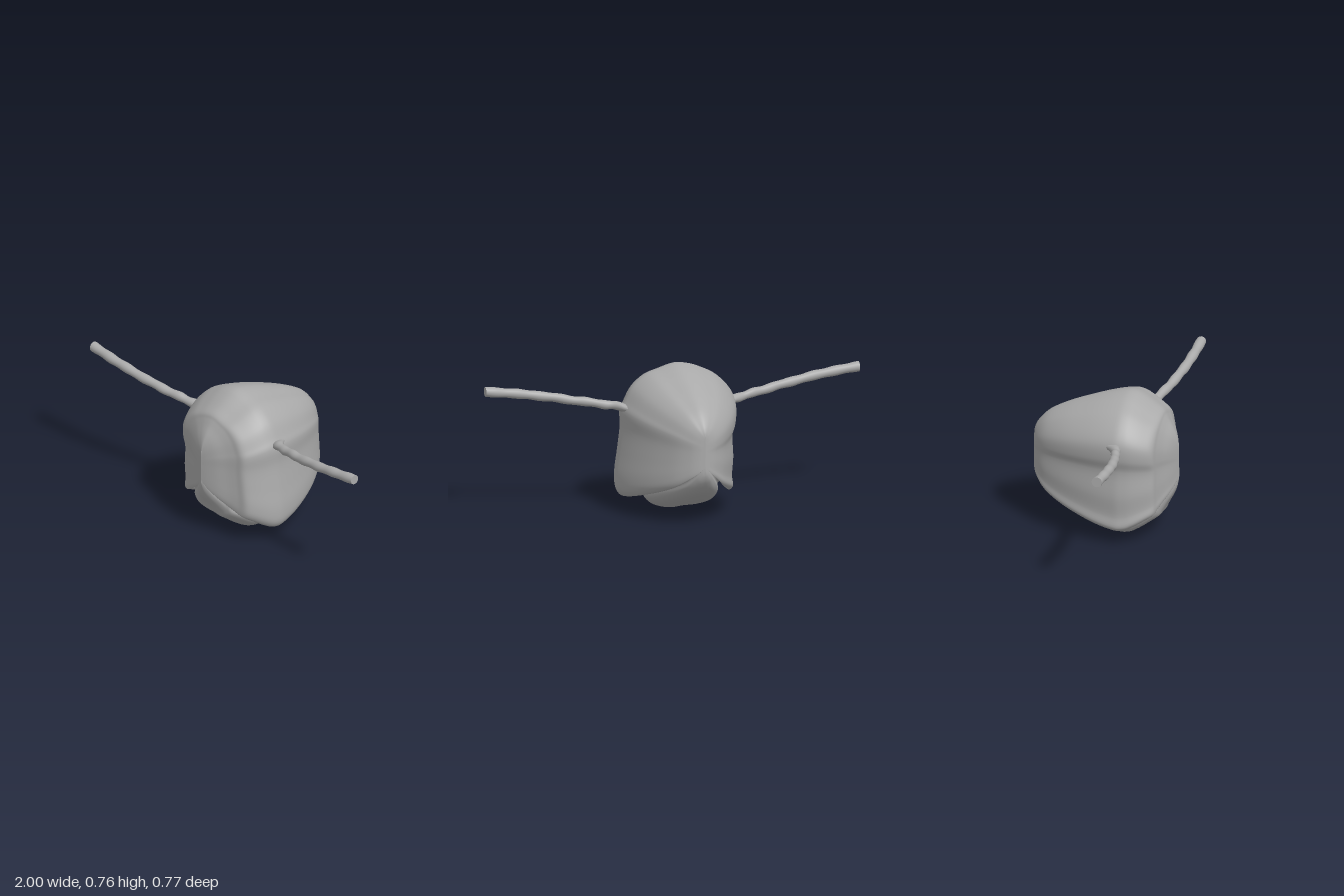
import * as THREE from 'three';

// Skin a list of closed rings (arrays of Vector3, equal length) with smooth normals
function loft(rings) {
  const n = rings[0].length, pos = [], index = [];
  for (const ring of rings) for (const p of ring) pos.push(p.x, p.y, p.z);
  for (let i = 0; i < rings.length - 1; i++) {
    for (let j = 0; j < n; j++) {
      const a = i * n + j, b = i * n + (j + 1) % n, c = a + n, d = b + n;
      index.push(a, c, b, b, c, d);
    }
  }
  const geo = new THREE.BufferGeometry();
  geo.setAttribute('position', new THREE.Float32BufferAttribute(pos, 3));
  geo.setIndex(index);
  geo.computeVertexNormals();
  return geo;
}

// Widest outline of the body, clockwise from the top
const OUTLINE = [
  [0.01, 0.76], [0.1, 0.735], [0.17, 0.71], [0.24, 0.65], [0.28, 0.575], [0.3, 0.53],
  [0.3, 0.43], [0.315, 0.3], [0.33, 0.18], [0.325, 0.11], [0.3, 0.08], [0.26, 0.1],
  [0.22, 0.14], [0.18, 0.12], [0.18, 0.07], [0.145, 0.03], [0.07, 0.005], [0, 0.01],
  [-0.09, 0.015], [-0.155, 0.035], [-0.185, 0.08], [-0.18, 0.12], [-0.22, 0.14],
  [-0.26, 0.08], [-0.283, 0.1], [-0.277, 0.16], [-0.285, 0.27], [-0.28, 0.41],
  [-0.3, 0.48], [-0.3, 0.56], [-0.27, 0.62], [-0.2, 0.69], [-0.135, 0.725], [-0.07, 0.75],
];

// Depth sections from back to front: width scale, height scale, z
const SECTIONS = [
  [0, 0, -0.387], [0.11, 0.11, -0.38], [0.24, 0.24, -0.36], [0.45, 0.46, -0.3],
  [0.66, 0.65, -0.2], [0.81, 0.79, -0.1], [0.92, 0.91, 0], [0.98, 0.98, 0.08],
  [1, 1, 0.125], [0.99, 0.98, 0.16], [0.96, 0.91, 0.2], [0.87, 0.77, 0.26],
  [0.77, 0.67, 0.3], [0.62, 0.58, 0.315], [0.47, 0.47, 0.332], [0.28, 0.31, 0.358],
  [0.12, 0.16, 0.375], [0, 0, 0.385],
];

// Body: the outline shrinks to an upright ridge at the front and back
function bodyGeometry() {
  const outline = new THREE.CatmullRomCurve3(
    OUTLINE.map(([x, y]) => new THREE.Vector3(x, y, 0)), true).getPoints(170).slice(0, -1);
  const sections = new THREE.CatmullRomCurve3(
    SECTIONS.map((s) => new THREE.Vector3(...s))).getPoints(85);
  return loft(sections.map((s) => outline.map((p) => {
    const ridgeY = 0.3 + 0.18 * (p.y / 0.76);
    return new THREE.Vector3(p.x * s.x, ridgeY + (p.y - ridgeY) * s.y, s.z);
  })));
}

// Arm: a gnarled thin limb that flares towards the body and has a flat tip
function armGeometry(side) {
  const path = new THREE.CatmullRomCurve3([
    [0.24, 0.54, 0.1], [0.32, 0.55, 0.135], [0.42, 0.565, 0.162], [0.55, 0.585, 0.19],
    [0.7, 0.61, 0.213], [0.85, 0.632, 0.224], [1, 0.65, 0.225],
  ].map(([x, y, z]) => new THREE.Vector3(x * side, y, z)));
  const ring = (c, r, flare, steps = 20) => Array.from({ length: steps }, (_, j) => {
    const a = (j / steps) * Math.PI * 2, sn = -side * Math.sin(a);
    // the root widens mostly towards the back
    const depth = r + flare * (sn < 0 ? 0.09 : 0.02);
    return new THREE.Vector3(c.x, c.y + Math.cos(a) * r, c.z + sn * depth);
  });
  const rings = [];
  for (let i = 0; i <= 70; i++) {
    const t = i / 70, c = path.getPoint(t);
    const r = 0.022 + 0.004 * t + 0.0015 * Math.sin(t * 47 + side);
    c.y += 0.003 * Math.sin(t * 31 + side * 2) * (1 - t);
    rings.push(ring(c, r, Math.max(0, 1 - t / 0.25) ** 2));
  }
  const tip = path.getPoint(1);
  rings.push(rings[70], ring(tip, 0, 0));
  return loft(rings);
}

export function createModel() {
  const grey = new THREE.MeshStandardMaterial({ color: 0xaaaaaa });
  grey.name = 'grey';
  const model = new THREE.Group();
  const add = (name, geo) => {
    const mesh = new THREE.Mesh(geo, grey);
    mesh.name = name;
    model.add(mesh);
  };
  add('body', bodyGeometry());
  add('leftArm', armGeometry(1));
  add('rightArm', armGeometry(-1));
  return model;
}
